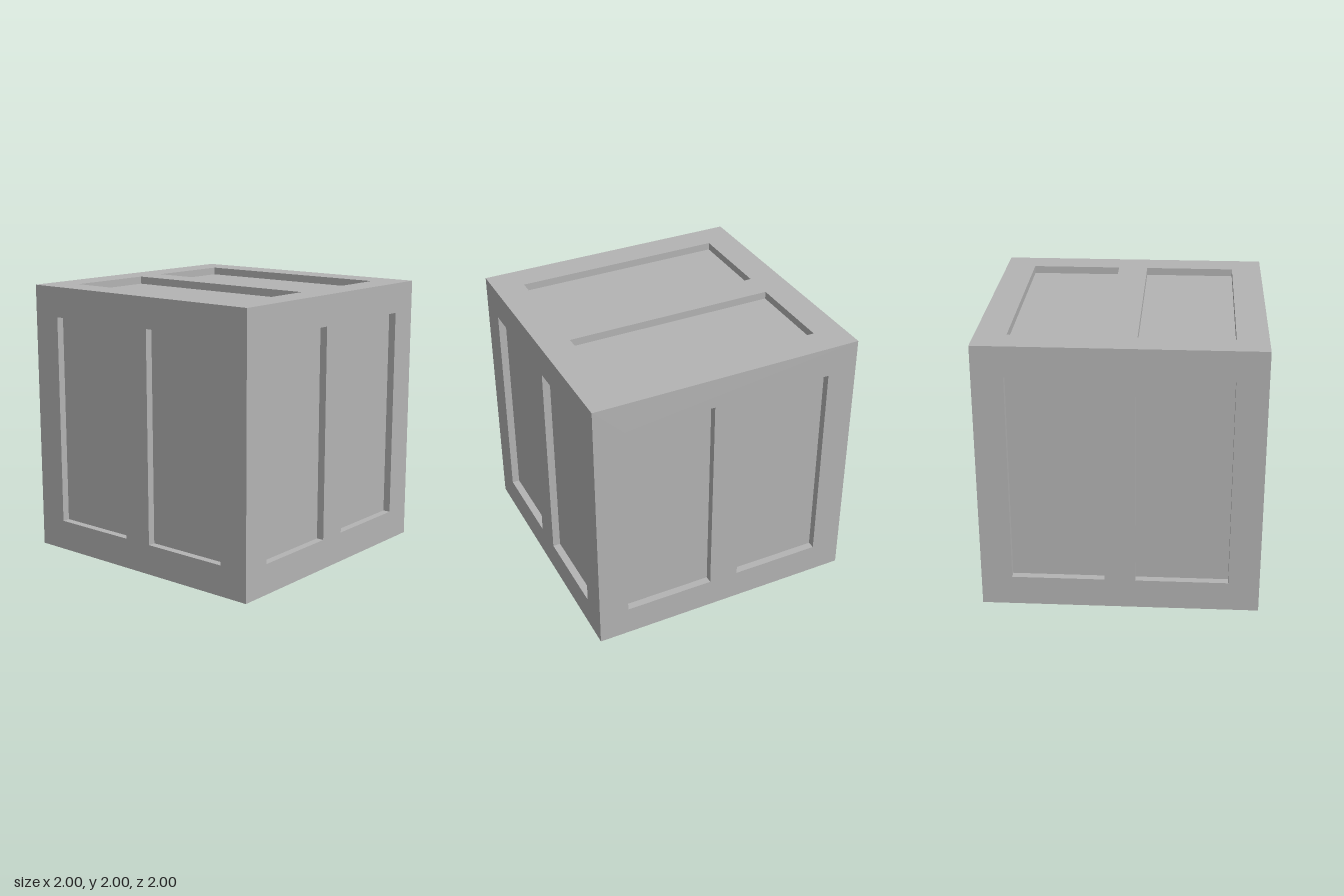
import * as THREE from 'three';
import { mergeGeometries } from 'three/addons/utils/BufferGeometryUtils.js';

const INNER = 1 / 9;   // half width of the centre bar
const OUTER = 7 / 9;   // outer edge of the recesses
const DEPTH = 1 / 18;  // recess depth
const W = OUTER - INNER, H = 2 * OUTER;

// Rectangle outline centred on (x, y)
function rect(Type, x, y, w, h) {
  return new Type([[-1, -1], [1, -1], [1, 1], [-1, 1]]
    .map(([i, j]) => new THREE.Vector2(x + i * w / 2, y + j * h / 2)));
}

// Four inward-facing walls around a recess centred on x
function recessWalls(x) {
  const walls = [0, 1, 2, 3].map((i) => {
    const side = i % 2 === 0;
    return new THREE.PlaneGeometry(DEPTH, side ? H : W)
      .rotateY(-Math.PI / 2)
      .translate((side ? W : H) / 2, 0, -DEPTH / 2)
      .rotateZ(i * Math.PI / 2)
      .translate(x, 0, 1);
  });
  return mergeGeometries(walls);
}

export function createModel() {
  const model = new THREE.Group();
  model.name = 'crate';
  const grey = new THREE.MeshStandardMaterial({ color: 0xb3b3b3 });
  grey.name = 'grey';

  const add = (parent, name, geometry) => {
    const mesh = new THREE.Mesh(geometry, grey);
    mesh.name = name;
    parent.add(mesh);
  };

  // One face of the crate, built facing +z, one unit from the centre
  const centres = [-(INNER + OUTER) / 2, (INNER + OUTER) / 2];
  const outline = rect(THREE.Shape, 0, 0, 2, 2);
  outline.holes = centres.map((x) => rect(THREE.Path, x, 0, W, H));
  const frame = new THREE.ShapeGeometry(outline).translate(0, 0, 1);
  const walls = mergeGeometries(centres.map(recessWalls));
  const panels = mergeGeometries(centres.map((x) =>
    new THREE.PlaneGeometry(W, H).translate(x, 0, 1 - DEPTH)));

  // Side recesses stand upright; top and bottom recesses run along x
  const q = Math.PI / 2;
  const faces = [
    ['front', 0, 0, 0], ['left', 0, q, 0], ['back', 0, 2 * q, 0], ['right', 0, -q, 0],
    ['top', -q, 0, q], ['bottom', q, 0, q],
  ];
  for (const [name, rx, ry, rz] of faces) {
    const face = new THREE.Group();
    face.name = name + 'Face';
    face.rotation.set(rx, ry, rz);
    face.position.y = 1;
    add(face, name + 'Frame', frame);
    add(face, name + 'RecessWalls', walls);
    add(face, name + 'Panels', panels);
    model.add(face);
  }
  return model;
}
